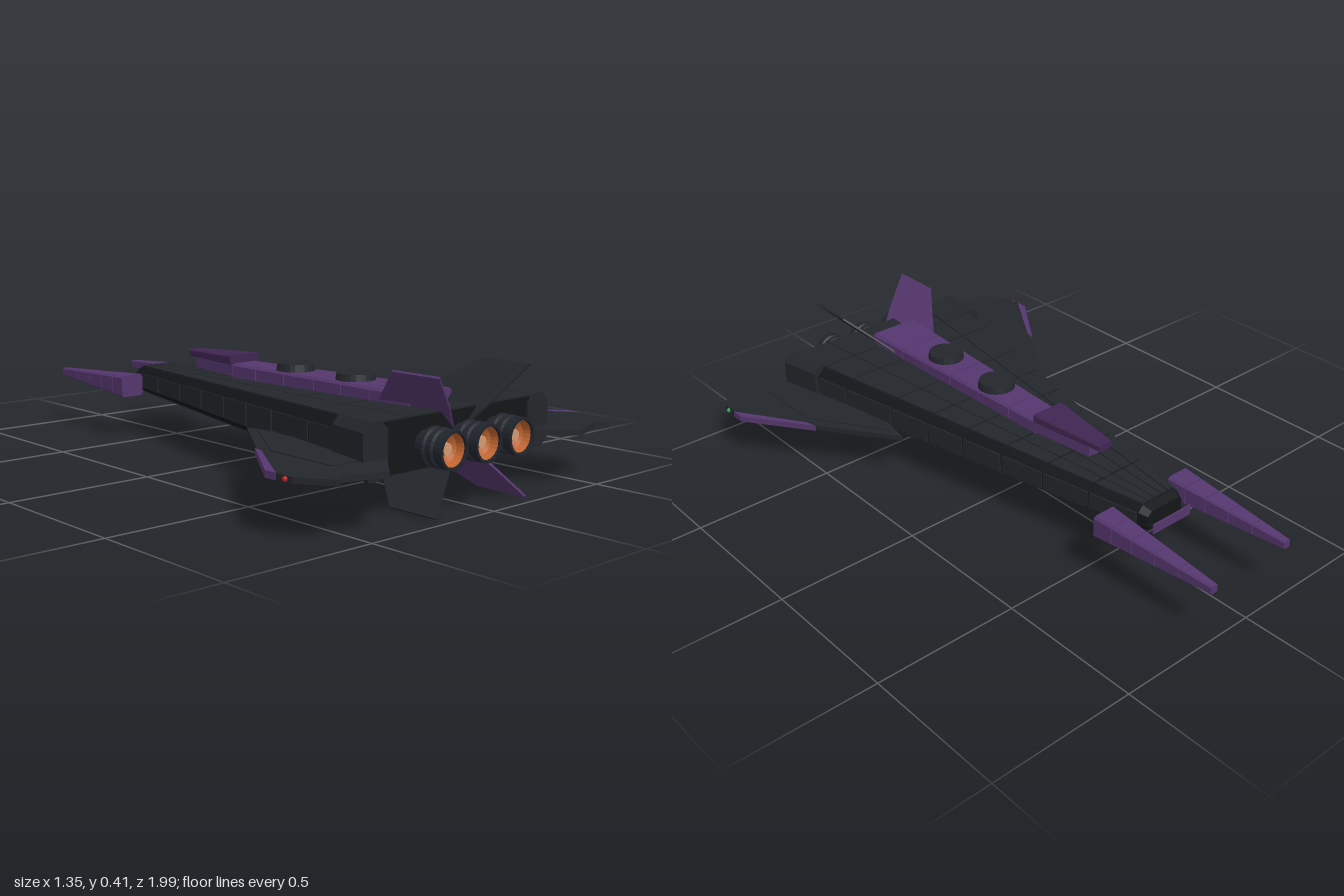
import * as THREE from 'three';

const mat = (color) => new THREE.MeshStandardMaterial({ color, flatShading: true });
const M = {
  core: mat(0x131518), plate: mat(0x23262b), engine: mat(0x20242c),
  purple: mat(0x55366e), darkPurple: mat(0x402652), glow: mat(0xc0642f),
  glowCore: mat(0xd39a70), red: mat(0xb02020), green: mat(0x20a050),
};

// Loft of chamfered rectangles; sections run in +z as [z, x0, x1, y0, y1, chamfer]
function loft(sections) {
  const rings = sections.map(([z, x0, x1, y0, y1, c = 0]) => (c
    ? [[x1 - c, y0], [x1, y0 + c], [x1, y1 - c], [x1 - c, y1], [x0 + c, y1], [x0, y1 - c], [x0, y0 + c], [x0 + c, y0]]
    : [[x1, y0], [x1, y1], [x0, y1], [x0, y0]]).map(([x, y]) => [x, y, z]));
  const n = rings[0].length, pos = [];
  const tri = (...p) => p.forEach((v) => pos.push(...v));
  for (let k = 0; k < rings.length - 1; k++) {
    for (let i = 0; i < n; i++) {
      const j = (i + 1) % n, A = rings[k], B = rings[k + 1];
      tri(A[i], A[j], B[j]);
      tri(A[i], B[j], B[i]);
    }
  }
  const first = rings[0], last = rings[rings.length - 1];
  for (let i = 1; i < n - 1; i++) {
    tri(first[0], first[i + 1], first[i]);
    tri(last[0], last[i], last[i + 1]);
  }
  const g = new THREE.BufferGeometry();
  g.setAttribute('position', new THREE.Float32BufferAttribute(pos, 3));
  g.computeVertexNormals();
  return g;
}

// Flat plate outlined in x/z, centred on y = 0
function plate(points, thickness) {
  const g = new THREE.ExtrudeGeometry(
    new THREE.Shape(points.map(([x, z]) => new THREE.Vector2(x, z))),
    { depth: thickness, bevelEnabled: false });
  return g.translate(0, 0, -thickness / 2).rotateX(Math.PI / 2);
}

// Hull dimensions along z
const lerp = THREE.MathUtils.lerp;
const Z0 = -0.62, Z1 = 0.865;
const hullAt = (z) => {
  const t = (z - Z0) / (Z1 - Z0);
  return { w: lerp(0.088, 0.395, t), y0: lerp(0.157, 0.127, t), y1: lerp(0.246, 0.281, t), c: lerp(0.02, 0.03, t) };
};

export function createModel() {
  const ship = new THREE.Group();
  const add = (name, geometry, material, parent = ship) => {
    const m = new THREE.Mesh(geometry, material);
    m.name = name;
    parent.add(m);
    return m;
  };
  const group = (name) => {
    const g = new THREE.Group();
    g.name = name;
    ship.add(g);
    return g;
  };
  const hullSection = (z) => {
    const h = hullAt(z);
    return [z, -h.w, h.w, h.y0, h.y1, h.c];
  };

  // Tapered hull with a blunt tip
  add('hull', loft([[-0.65, -0.075, 0.075, 0.167, 0.234, 0.015], hullSection(Z0), hullSection(Z1)]), M.core);

  // Armour plates with narrow seams on top, bottom and sides
  const plates = group('hullPlates');
  const seams = [Z0, -0.44, -0.265, -0.1, 0.06, 0.21, 0.37, 0.58, 0.715, Z1];
  const columns = [-1, -0.62, -0.22, 0.22, 0.62, 1];
  const T = 0.005, gap = 0.004;
  for (let k = 0; k < seams.length - 1; k++) {
    const ends = [seams[k] + gap, seams[k + 1] - gap];
    for (let i = 0; i < columns.length - 1; i++) {
      for (const top of [true, false]) {
        add('deckPlate', loft(ends.map((z) => {
          const h = hullAt(z), f = h.w - h.c;
          return [z, columns[i] * f + gap / 2, columns[i + 1] * f - gap / 2,
            top ? h.y1 - T : h.y0 - T, top ? h.y1 + T : h.y0 + T];
        })), M.plate, plates);
      }
    }
    for (const s of [-1, 1]) {
      add('sidePlate', loft(ends.map((z) => {
        const h = hullAt(z), x = s * h.w;
        return [z, x - T, x + T, h.y0 + h.c, h.y1 - h.c];
      })), M.plate, plates);
    }
  }

  // Rear corner blocks
  for (const s of [-1, 1]) {
    const a = s * 0.31;
    const section = (z, outer) => [z, Math.min(a, s * outer), Math.max(a, s * outer), 0.119, 0.29, 0.028];
    add('rearCornerBlock', loft([section(0.72, 0.378), section(0.872, 0.408)]), M.plate);
  }

  // Purple dorsal spine in segments
  const spine = group('dorsalSpine');
  const spineWidth = (z) => lerp(0.055, 0.095, (z + 0.11) / 0.86);
  const cuts = [-0.11, 0.02, 0.17, 0.32, 0.45, 0.58, 0.75];
  for (let k = 0; k < cuts.length - 1; k++) {
    add('spineSegment', loft([cuts[k] + 0.002, cuts[k + 1] - 0.002].map((z) =>
      [z, -spineWidth(z), spineWidth(z), 0.255, lerp(0.312, 0.32, (z + 0.11) / 0.86), 0.008])), M.purple, spine);
  }
  add('spineNose', loft([[-0.34, -0.03, 0.03, 0.272, 0.308], [-0.11, -0.055, 0.055, 0.268, 0.312]]), M.purple, spine);
  add('bridgeCanopy', loft([[-0.385, -0.028, 0.028, 0.308, 0.332, 0.005],
    [-0.11, -0.064, 0.064, 0.308, 0.341, 0.005]]), M.darkPurple, spine);

  // Round turrets on the spine and small fittings below
  for (const z of [0.155, 0.435]) {
    add('dorsalTurret', new THREE.CylinderGeometry(0.06, 0.065, 0.024, 24).translate(0, 0.327, z), M.plate);
  }
  add('ventralTurret', new THREE.CylinderGeometry(0.062, 0.055, 0.025, 24).translate(0, 0.127, 0.345), M.plate);
  add('ventralHatch', new THREE.BoxGeometry(0.1, 0.02, 0.12).translate(0, 0.132, 0.04), M.plate);
  for (const z of [-0.07, -0.13]) {
    add('ventralSensor', new THREE.BoxGeometry(0.05, 0.035, 0.025).translate(0, 0.133, z), M.plate);
  }

  // Twin forward prongs in segments, with the emitter strip between them
  const prongCuts = [-1, -0.88, -0.79, -0.7, -0.62, -0.55];
  for (const s of [-1, 1]) {
    const prong = group(s > 0 ? 'leftProng' : 'rightProng');
    const section = (z) => {
      const t = (z + 1) / 0.45;
      const xs = [s * lerp(0.15, 0.12, t), s * lerp(0.177, 0.21, t)].sort((a, b) => a - b);
      return [z, ...xs, lerp(0.18, 0.153, t), lerp(0.208, 0.232, t), lerp(0.004, 0.008, t)];
    };
    for (let k = 0; k < prongCuts.length - 1; k++) {
      add('prongSegment', loft([section(prongCuts[k]), section(prongCuts[k + 1] - (k < 4 ? 0.003 : 0))]), M.purple, prong);
    }
  }
  add('emitterStrip', new THREE.BoxGeometry(0.165, 0.035, 0.005).translate(0, 0.193, -0.68), M.purple);

  // Swept wings with coloured leading edges, flaps and tip lights
  const outline = [[0.32, 0.28], [0.665, 0.77], [0.665, 0.87], [0.59, 0.975], [0.56, 0.942], [0.425, 0.988], [0.3, 0.86], [0.28, 0.5]];
  const edge = [[0.505, 0.535], [0.668, 0.765], [0.668, 0.81], [0.515, 0.575]];
  const rib = [[0.33, 0.34], [0.5, 0.6], [0.5, 0.85], [0.3, 0.85]];
  for (const s of [-1, 1]) {
    const wing = group(s > 0 ? 'leftWing' : 'rightWing');
    wing.position.y = 0.172;
    const mirror = (pts) => pts.map(([x, z]) => [s * x, z]);
    add('wingPanel', plate(mirror(outline), 0.018), M.plate, wing);
    add('wingRoot', plate(mirror(rib), 0.024), M.plate, wing);
    add('wingLeadingEdge', plate(mirror(edge), 0.021), M.purple, wing);
    add('tipLight', new THREE.SphereGeometry(0.008, 10, 8).translate(s * 0.668, 0, 0.845), s > 0 ? M.green : M.red, wing);
  }

  // Four tail fins forming an X
  const fin = [[0.03, 0.53], [0.283, 0.78], [0.283, 0.957], [0.14, 0.91], [0.03, 0.86]];
  for (let i = 0; i < 4; i++) {
    const g = plate(fin, 0.007).rotateZ(Math.PI / 4 + i * Math.PI / 2).translate(0, 0.203, 0);
    add('tailFin', g, i % 2 ? M.purple : M.plate);
  }

  // Three ribbed engines with glowing bells
  const lathe = (pts, n = 24) => new THREE.LatheGeometry(pts.map(([r, y]) => new THREE.Vector2(r, y)), n).rotateX(Math.PI / 2);
  const shell = [[0.045, 0], [0.048, 0.03], [0.06, 0.034], [0.06, 0.046], [0.052, 0.05], [0.052, 0.06],
    [0.06, 0.064], [0.06, 0.076], [0.052, 0.08], [0.052, 0.09], [0.058, 0.094], [0.058, 0.117], [0.05, 0.117], [0.048, 0.1]];
  for (const x of [-0.15, 0, 0.15]) {
    const engine = group('engine');
    engine.position.set(x, 0.195, 0.86);
    add('engineHousing', lathe(shell), M.engine, engine);
    add('engineBell', lathe([[0.05, 0.112], [0.042, 0.085], [0.02, 0.07], [0, 0.07]]), M.glow, engine);
    add('engineCore', new THREE.CylinderGeometry(0.018, 0.02, 0.02, 16).rotateX(Math.PI / 2).translate(0, 0, 0.08), M.glowCore, engine);
  }

  return ship;
}
